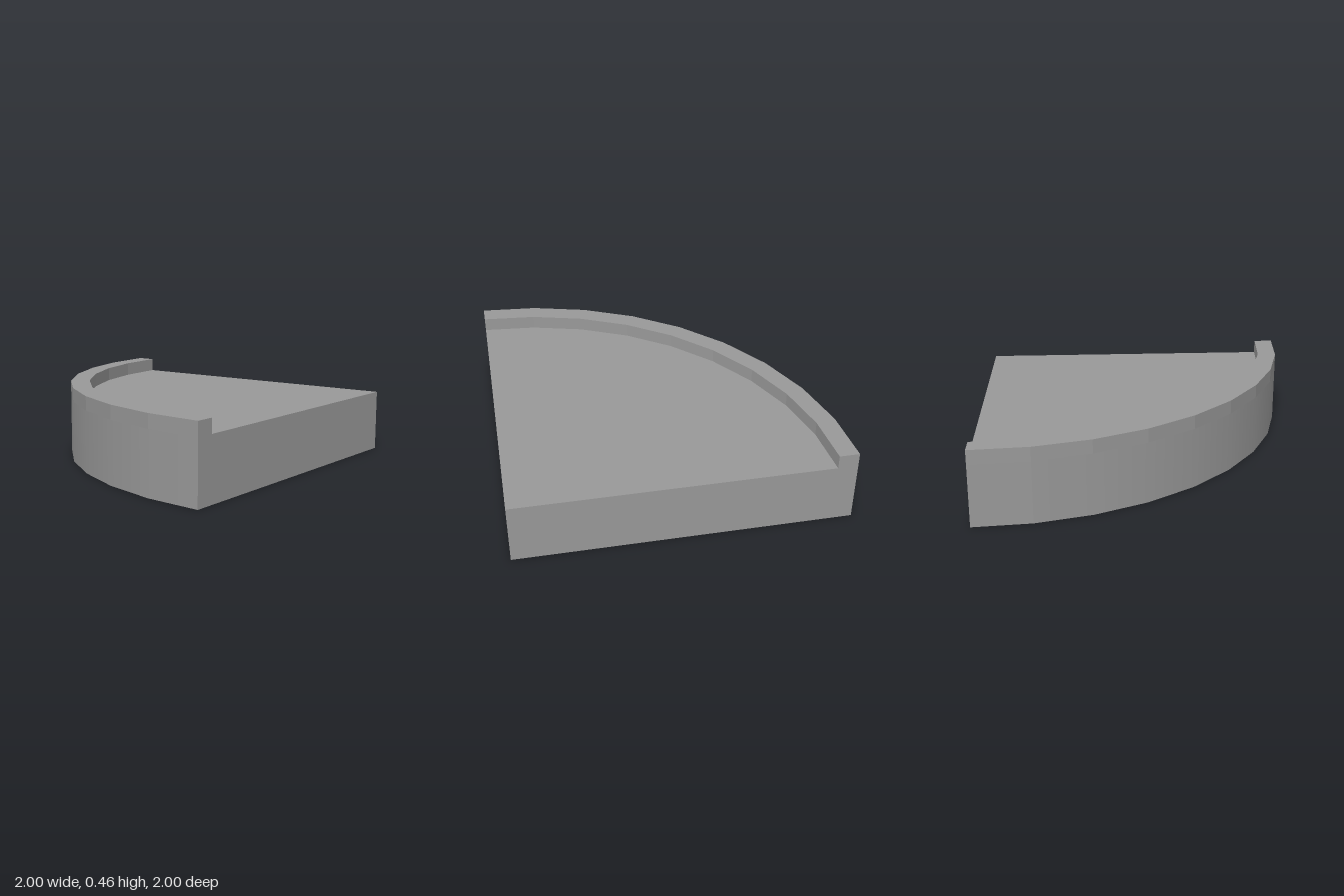
import * as THREE from 'three';

const SEGMENTS = 9, OUTER = 2, INNER = 1.88, FLOOR = 0.375, TOP = 0.46;
const STEP = Math.PI / 2 / SEGMENTS;

// Points of a quarter arc about the square corner at x = 1, z = -1
function arc(radius) {
  return Array.from({ length: SEGMENTS + 1 }, (_, i) =>
    new THREE.Vector2(1 - radius * Math.cos(i * STEP), 1 - radius * Math.sin(i * STEP)));
}

// Extrude a plan outline upwards from y0 to y1
function slab(points, y0, y1) {
  const geometry = new THREE.ExtrudeGeometry(new THREE.Shape(points), { depth: y1 - y0, bevelEnabled: false });
  return geometry.rotateX(-Math.PI / 2).translate(0, y0, 0);
}

// Smooth the curved wall, leaving its first facet and the straight sides flat
function smoothWall(geometry) {
  const p = geometry.attributes.position, n = geometry.attributes.normal;
  for (let i = 0; i < p.count; i++) {
    const faceAngle = Math.atan2(n.getZ(i), -n.getX(i));
    const curved = Math.abs(n.getY(i)) < 0.1 && faceAngle > STEP && faceAngle < Math.PI / 2 - 0.01;
    if (!curved) continue;
    const angle = THREE.MathUtils.clamp(Math.atan2(p.getZ(i) + 1, 1 - p.getX(i)), 1.5 * STEP, 8.5 * STEP);
    n.setXYZ(i, -Math.cos(angle), 0, Math.sin(angle));
  }
  return geometry;
}

export function createModel() {
  const group = new THREE.Group();
  const grey = new THREE.MeshStandardMaterial({ color: 0x999999 });
  grey.name = 'grey';

  // Solid quarter-round base
  const base = new THREE.Mesh(smoothWall(slab([...arc(OUTER), new THREE.Vector2(1, 1)], 0, FLOOR)), grey);
  base.name = 'base';

  // Raised lip along the curved edge
  const rim = new THREE.Mesh(slab([...arc(OUTER), ...arc(INNER).reverse()], FLOOR, TOP), grey);
  rim.name = 'rim';

  group.add(base, rim);
  return group;
}
